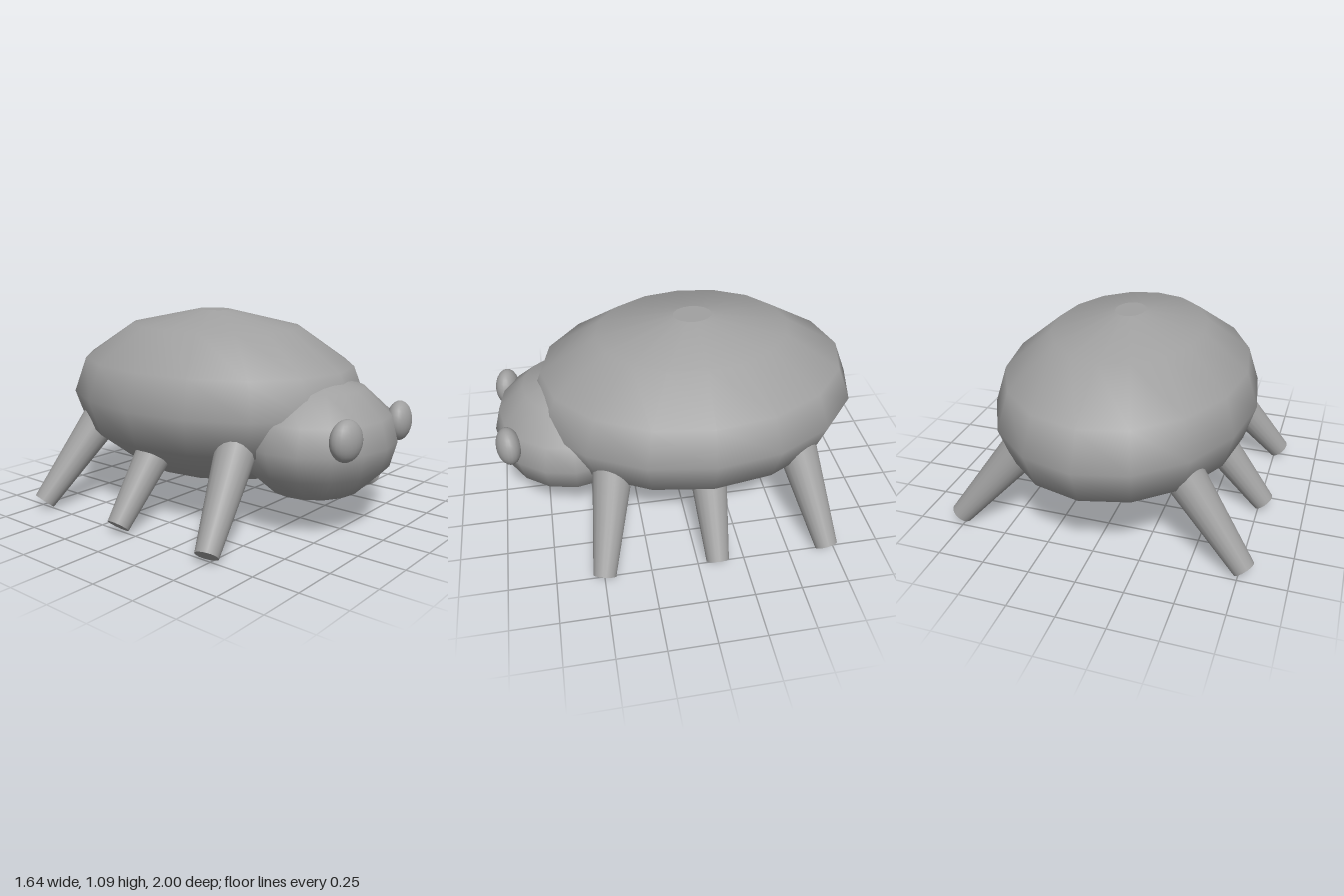
import * as THREE from 'three';
import { mergeGeometries } from 'three/addons/utils/BufferGeometryUtils.js';

// Radius and height of each ring of a unit ovoid, bottom to top
const RINGS = [[0.115, -1], [0.577, -0.82], [0.914, -0.413], [1, 0],
  [0.914, 0.413], [0.577, 0.82], [0.115, 1]];

// Faceted-outline ovoid with a small flat cap at each end
function ovoid(rx, ry, rz) {
  const shell = new THREE.LatheGeometry(RINGS.map(([r, y]) => new THREE.Vector2(r, y)), 16);
  const top = new THREE.CircleGeometry(RINGS[0][0], 16).rotateX(-Math.PI / 2).translate(0, 1, 0);
  const bottom = new THREE.CircleGeometry(RINGS[0][0], 16).rotateX(Math.PI / 2).translate(0, -1, 0);
  return mergeGeometries([shell, top, bottom]).scale(rx, ry, rz);
}

export function createModel() {
  const model = new THREE.Group();
  model.name = 'beetle';
  const grey = new THREE.MeshStandardMaterial({ color: 0xa0a0a0 });
  grey.name = 'grey';

  function add(name, geometry, x, y, z) {
    const mesh = new THREE.Mesh(geometry, grey);
    mesh.name = name;
    mesh.position.set(x, y, z);
    model.add(mesh);
    return mesh;
  }

  add('body', ovoid(0.697, 0.47, 0.9), 0, 0.625, -0.1);
  add('head', ovoid(0.445, 0.325, 0.41), 0, 0.475, 0.59);

  // Tapered leg running from the foot up into the body
  function addLeg(name, foot, hip) {
    const axis = hip.clone().sub(foot);
    const length = axis.length();
    const leg = add(name, new THREE.CylinderGeometry(0.06 + 0.085 * length, 0.06, length, 20),
      ...foot.clone().add(hip).multiplyScalar(0.5).toArray());
    leg.quaternion.setFromUnitVectors(new THREE.Vector3(0, 1, 0), axis.normalize());
  }

  for (const side of [1, -1]) {
    const label = side > 0 ? 'left' : 'right';

    // Slightly flattened eyes turned outward
    const eye = add(label + 'Eye', new THREE.SphereGeometry(1, 20, 14).scale(0.095, 0.104, 0.064),
      side * 0.265, 0.56, 0.923);
    eye.rotation.y = side * 0.2;

    // Front, middle and rear legs splay about the body centre
    [['Front', 1], ['Middle', 0], ['Rear', -1]].forEach(([place, k]) => {
      addLeg(label + place + 'Leg',
        new THREE.Vector3(side * 0.775, 0.041, -0.1 + k * 0.6),
        new THREE.Vector3(side * 0.4, 0.5, -0.1 + k * 0.49));
    });
  }
  return model;
}
